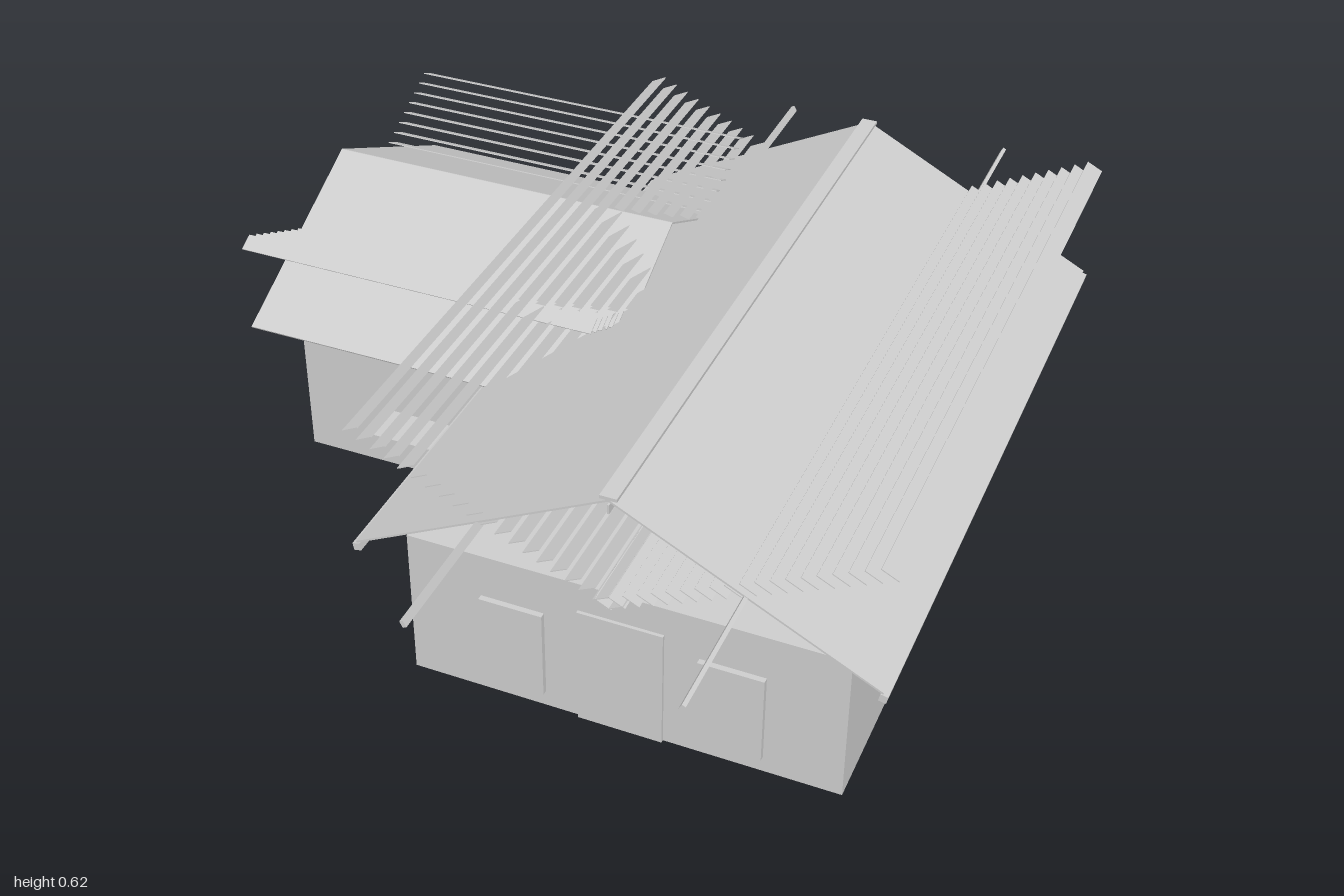
import * as THREE from 'three';

const grey = new THREE.MeshStandardMaterial({ color: 0xcccccc });
grey.name = 'plain grey';

// Box given by its min and max corners
function block(name, [x0, y0, z0], [x1, y1, z1]) {
  const m = new THREE.Mesh(new THREE.BoxGeometry(x1 - x0, y1 - y0, z1 - z0), grey);
  m.position.set((x0 + x1) / 2, (y0 + y1) / 2, (z0 + z1) / 2);
  m.name = name;
  return m;
}

// Bar running along z, tilted about its own length
function bar(name, w, h, len, x, y, tilt = 0) {
  const m = new THREE.Mesh(new THREE.BoxGeometry(w, h, len), grey);
  m.position.set(x, y, 0);
  m.rotation.z = tilt;
  m.name = name;
  return m;
}

// Gable roof along z: two thin slopes and an upturned fan of slats on each side
function gableRoof(name, { half, eave, ridge, len, slats, slatOut, slatHigh, slatIn, slatLow }) {
  const g = new THREE.Group();
  g.name = name;
  const pitch = Math.atan2(ridge - eave, half);
  for (const s of [-1, 1]) {
    g.add(bar('roofSlope', Math.hypot(half, ridge - eave), 0.004, len,
      s * half / 2, (eave + ridge) / 2, -s * pitch));
    for (let i = 0; i < slats; i++) {
      const t = i / (slats - 1);
      g.add(bar('slat', 0.037, 0.002, len,
        s * THREE.MathUtils.lerp(slatOut, slatIn, t),
        THREE.MathUtils.lerp(slatHigh, slatLow, t), -s * pitch));
    }
  }
  return g;
}

export function createModel() {
  const house = new THREE.Group();
  house.name = 'house';

  // Walls
  house.add(block('mainWalls', [-0.175, 0, -0.69], [0.715, 0.335, 0.65]));
  house.add(block('wingWalls', [-0.73, 0, -0.585], [-0.175, 0.335, 0.09]));

  // Door, windows and the ledge on the wing
  house.add(block('door', [0.18, 0, 0.645], [0.355, 0.27, 0.657]));
  for (const x of [-0.022, 0.425])
    house.add(block('window', [x, 0.037, 0.645], [x + 0.132, 0.237, 0.662]));
  house.add(block('ledge', [-0.53, 0.122, 0.085], [-0.265, 0.148, 0.184]));

  // Main roof with ridge cap, long purlins and gutters
  const main = gableRoof('mainRoof', {
    half: 0.52, eave: 0.34, ridge: 0.605, len: 1.47,
    slats: 20, slatOut: 0.512, slatHigh: 0.608, slatIn: -0.012, slatLow: 0.36,
  });
  main.position.set(0.27, 0, -0.025);
  main.add(bar('ridgeCap', 0.034, 0.007, 1.47, 0, 0.609));
  main.add(bar('ridgeBoard', 0.004, 0.02, 1.47, 0, 0.585));
  for (const s of [-1, 1]) {
    main.add(bar('gutter', 0.015, 0.016, 1.47, s * 0.52, 0.328, -s * 0.2));
    const purlin = bar('purlin', 0.008, 0.014, 2, s * 0.258, 0.466, -s * 0.47);
    purlin.position.z = 0.025;
    main.add(purlin);
  }
  house.add(main);

  // Wing roof, turned to run along x
  const wing = gableRoof('wingRoof', {
    half: 0.428, eave: 0.35, ridge: 0.563, len: 0.8,
    slats: 16, slatOut: 0.412, slatHigh: 0.556, slatIn: 0.01, slatLow: 0.362,
  });
  wing.rotation.y = Math.PI / 2;
  wing.position.set(-0.4, 0, -0.25);

  // Small rafter tails under both wing eaves
  for (const s of [-1, 1]) {
    const tail = new THREE.Shape([[0.415, 0.352], [0.35, 0.385], [0.37, 0.332], [0.405, 0.332]]
      .map(([u, y]) => new THREE.Vector2(s * u, y)));
    const geo = new THREE.ExtrudeGeometry(tail, { depth: 0.005, bevelEnabled: false });
    for (let i = 0; i < 12; i++) {
      const m = new THREE.Mesh(geo, grey);
      m.position.z = -0.4 + i * 0.0677;
      m.name = 'rafterTail';
      wing.add(m);
    }
  }
  house.add(wing);
  return house;
}
